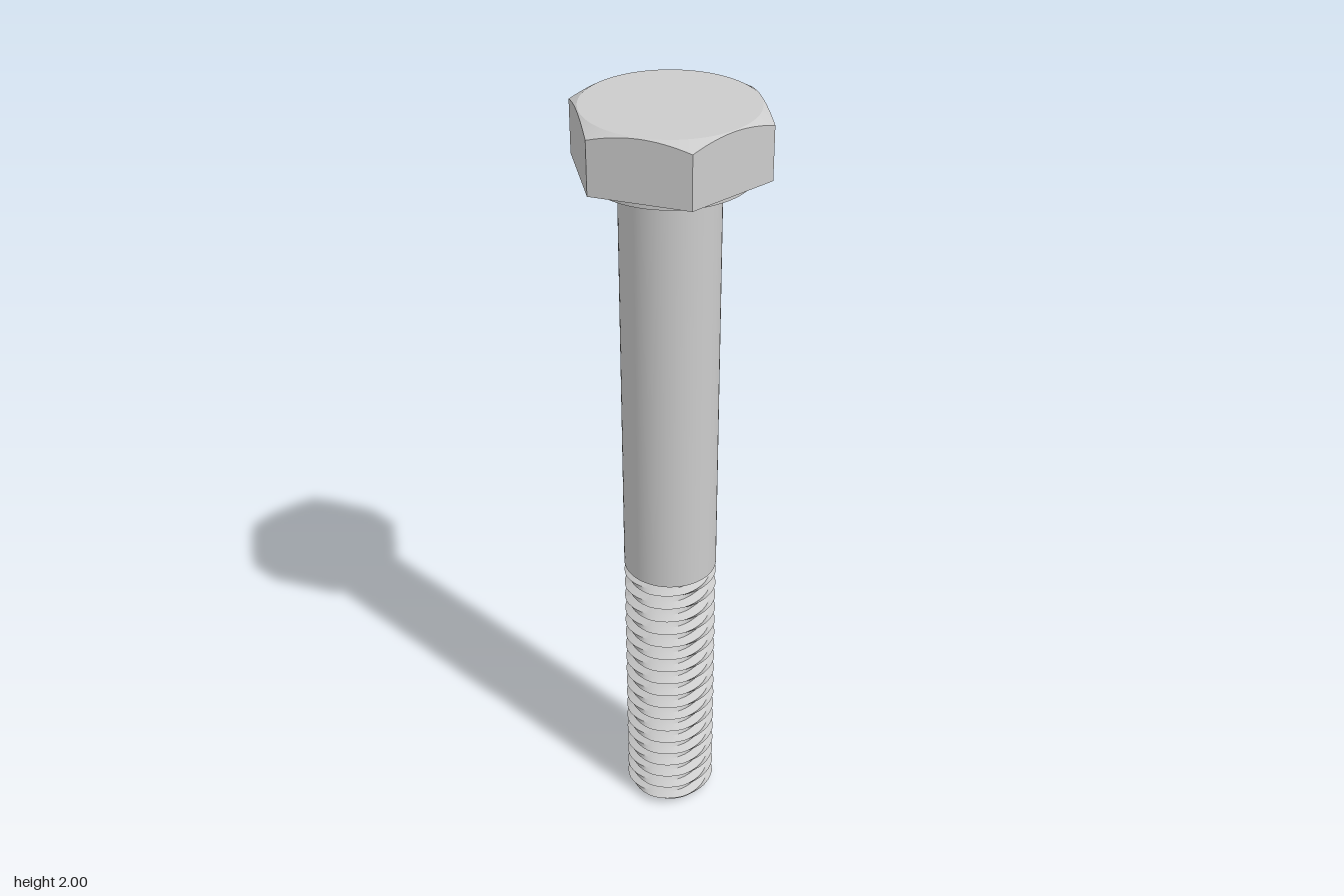
import * as THREE from 'three';
import { toCreasedNormals } from 'three/addons/utils/BufferGeometryUtils.js';

const TAU = Math.PI * 2;
const steel = new THREE.MeshStandardMaterial({ color: 0xcccccc });

// Skin around the y axis: point(row, angle) gives [radius, y], rows run from bottom to top.
function wrap(rows, cols, point, crease) {
  const pos = [];
  const at = (i, j) => {
    const t = (j / cols) * TAU;
    const [r, y] = point(i, t);
    return new THREE.Vector3(r * Math.cos(t), y, -r * Math.sin(t));
  };
  const tri = (a, b, c) => {
    const area = b.clone().sub(a).cross(c.clone().sub(a)).length();
    if (area > 1e-9) for (const p of [a, b, c]) pos.push(p.x, p.y, p.z);
  };
  for (let i = 0; i < rows - 1; i++) {
    for (let j = 0; j < cols; j++) {
      const a = at(i, j), b = at(i, j + 1), c = at(i + 1, j + 1), d = at(i + 1, j);
      tri(a, b, c);
      tri(a, c, d);
    }
  }
  const g = new THREE.BufferGeometry();
  g.setAttribute('position', new THREE.Float32BufferAttribute(pos, 3));
  return toCreasedNormals(g, crease);
}

// Hexagonal head with a conical chamfer cutting its top corners
function headGeometry() {
  const apothem = 0.204, circle = 0.201, bottom = 1.853;
  return wrap(5, 96, (i, t) => {
    const local = (t % (Math.PI / 3)) - Math.PI / 6;
    const r = apothem / Math.cos(local);
    return [
      [0, bottom],
      [r, bottom],
      [r, 2 - (r - circle) * 0.577],
      [circle, 2],
      [0, 2],
    ][i];
  }, 0.35);
}

// Helical V thread, right-handed, with a chamfered tip
function threadGeometry(top, crest) {
  const pitch = 0.042, root = 0.093;
  const stops = [0, 0.25, 0.5625, 0.6875]; // root start, root end, crest start, crest end
  const turns = Math.ceil(top / pitch) + 2;
  const radius = (y) => {
    const f = y / pitch - Math.floor(y / pitch);
    const k = f < 0.625 ? (f - 0.25) / 0.3125 : (1 - f) / 0.3125;
    const r = root + (crest - root) * THREE.MathUtils.clamp(k, 0, 1);
    return Math.min(r, 0.104 + y * 0.6);
  };
  const rows = turns * stops.length;
  return wrap(rows + 2, 64, (i, t) => {
    if (i === 0) return [0, 0];
    if (i === rows + 1) return [0, top];
    const k = i - 1;
    const raw = (Math.floor(k / 4) + stops[k % 4] + t / TAU - 1) * pitch;
    const y = THREE.MathUtils.clamp(raw, 0, top);
    // Nudging the sample angle keeps both ends of the seam on the same profile point
    return [radius(y + 1e-9), y];
  }, 0.5);
}

function cylinder(radius, y0, y1) {
  return new THREE.CylinderGeometry(radius, radius, y1 - y0, 64).translate(0, (y0 + y1) / 2, 0);
}

export function createModel() {
  const group = new THREE.Group();
  group.name = 'hexBolt';
  const add = (name, geometry) => {
    const mesh = new THREE.Mesh(geometry, steel);
    mesh.name = name;
    group.add(mesh);
  };

  const shankRadius = 0.118, threadTop = 0.77;
  add('head', headGeometry());
  add('washerFace', cylinder(0.19, 1.837, 1.86));
  add('shank', cylinder(shankRadius, threadTop, 1.84));
  add('thread', threadGeometry(threadTop, shankRadius));
  return group;
}
